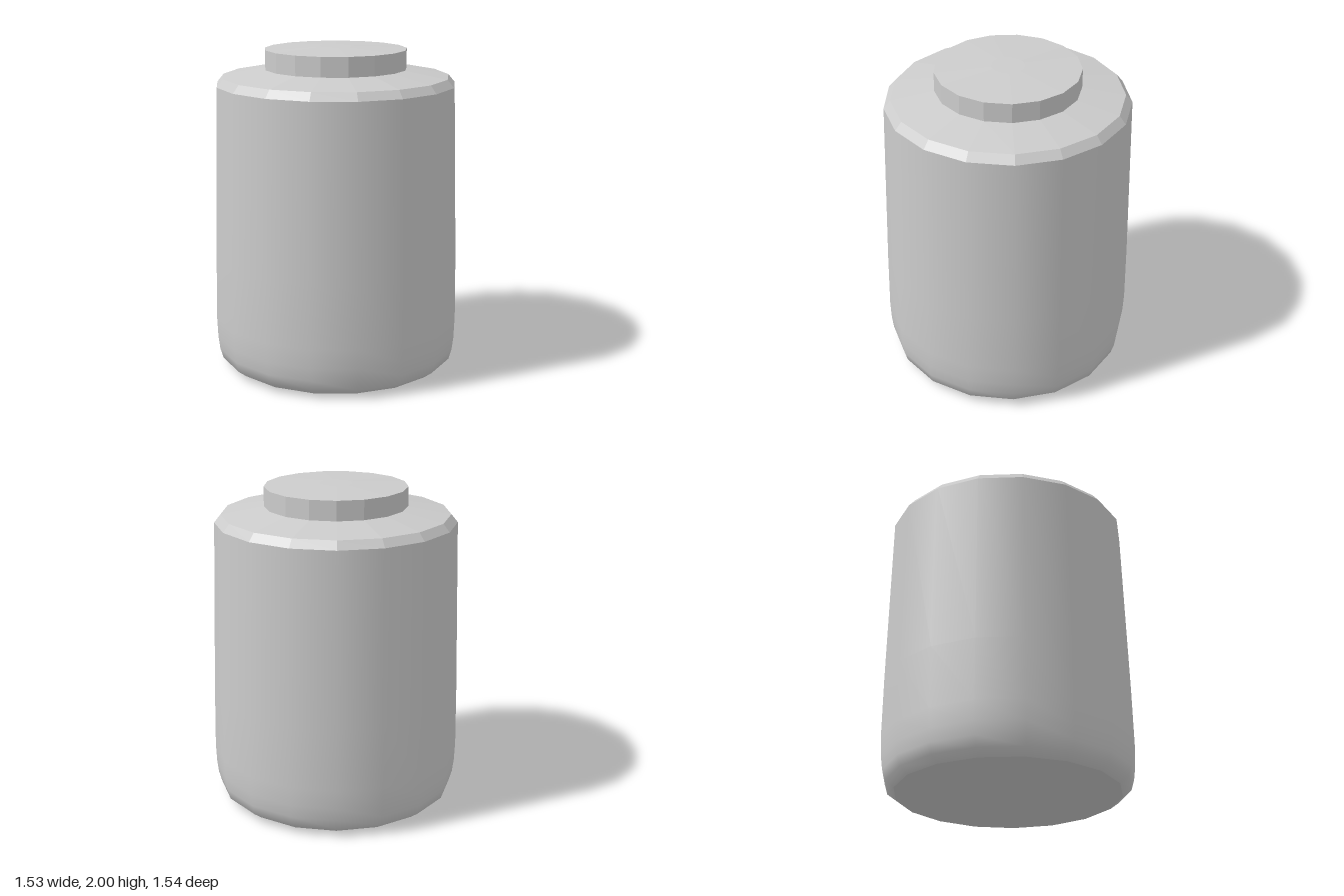
import * as THREE from 'three';

const SIDES = 17;

export function createModel() {
  const group = new THREE.Group();
  const smooth = new THREE.MeshStandardMaterial({ color: 0xcccccc });
  const faceted = new THREE.MeshStandardMaterial({ color: 0xcccccc, flatShading: true });

  // Turned section with a corner on +x; the axis leans back very slightly
  function turned(name, profile, material) {
    const points = profile.map(([r, y]) => new THREE.Vector2(r, y));
    const geometry = new THREE.LatheGeometry(points, SIDES, Math.PI / 2);
    const pos = geometry.attributes.position;
    for (let i = 0; i < pos.count; i++) pos.setZ(i, pos.getZ(i) - 0.004 * pos.getY(i));
    geometry.translate(-0.007, 0, 0);
    const mesh = new THREE.Mesh(geometry, material);
    mesh.name = name;
    group.add(mesh);
  }

  // Slightly bulged underside
  turned('base', [[0, 0], [0.685, 0.015]], faceted);

  // Tapered wall with a rounded foot
  turned('body', [
    [0.685, 0.015], [0.738, 0.055], [0.757, 0.12], [0.767, 0.2],
    [0.772, 0.32], [0.766, 0.7], [0.738, 1.772],
  ], smooth);

  // Bevelled rim and sloping shoulder
  turned('shoulder', [[0.738, 1.772], [0.698, 1.82], [0.437, 1.865]], faceted);

  // Short cap with a shallow domed top
  turned('capSide', [[0.437, 1.865], [0.437, 1.985]], faceted);
  turned('capTop', [[0.437, 1.985], [0.1, 2], [0, 2]], faceted);

  return group;
}
